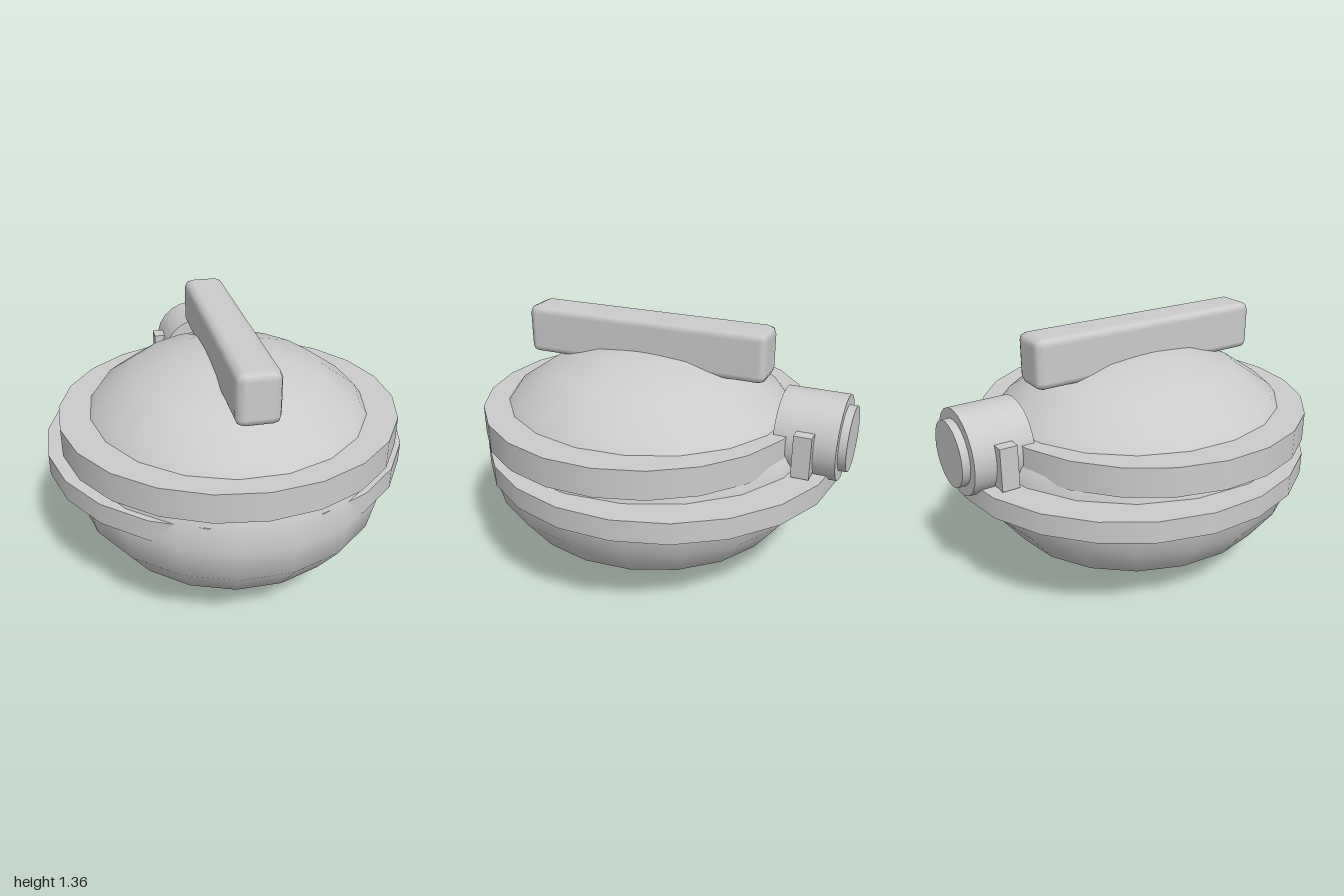
import * as THREE from 'three';
import { RoundedBoxGeometry } from 'three/addons/geometries/RoundedBoxGeometry.js';

const material = new THREE.MeshStandardMaterial({ color: 0xcccccc });

export function createModel() {
  const model = new THREE.Group();
  model.name = 'lidPot';

  const add = (name, geometry, x, y, z) => {
    const mesh = new THREE.Mesh(geometry, material);
    mesh.name = name;
    mesh.position.set(x, y, z);
    model.add(mesh);
    return mesh;
  };

  // Flattened round body, a corner of its outline facing back
  const body = new THREE.SphereGeometry(1, 19, 10, -Math.PI / 2);
  body.scale(0.843, 0.6, 0.905);
  add('body', body, 0, 0.6, 0.1);

  // Two stacked rim bands
  const band = (name, rx, rz, y0, y1, z) => {
    const g = new THREE.CylinderGeometry(1, 1, y1 - y0, 22);
    g.scale(rx, 1, rz);
    add(name, g, 0, (y0 + y1) / 2, z);
  };
  band('upperRim', 0.874, 0.865, 0.755, 0.905, 0.12);
  band('lowerRim', 0.95, 0.95, 0.6, 0.71, 0.01);

  // Long chamfered handle along the top
  add('handle', new RoundedBoxGeometry(0.215, 0.262, 1.33, 1, 0.042), 0, 1.229, 0.104);

  // Round barrel at the back with a smaller end cap
  const barrel = (name, r, zFront, zBack) => {
    const g = new THREE.CylinderGeometry(r, r, zFront - zBack, 22);
    g.rotateX(Math.PI / 2);
    add(name, g, 0, 0.853, (zFront + zBack) / 2);
  };
  barrel('barrel', 0.22, -0.65, -0.96);
  barrel('barrelCap', 0.168, -0.9, -1);

  // Lugs on both sides of the barrel
  for (const side of [1, -1]) {
    add(side > 0 ? 'leftLug' : 'rightLug', new THREE.BoxGeometry(0.08, 0.22, 0.09), side * 0.222, 0.83, -0.805);
  }
  return model;
}
